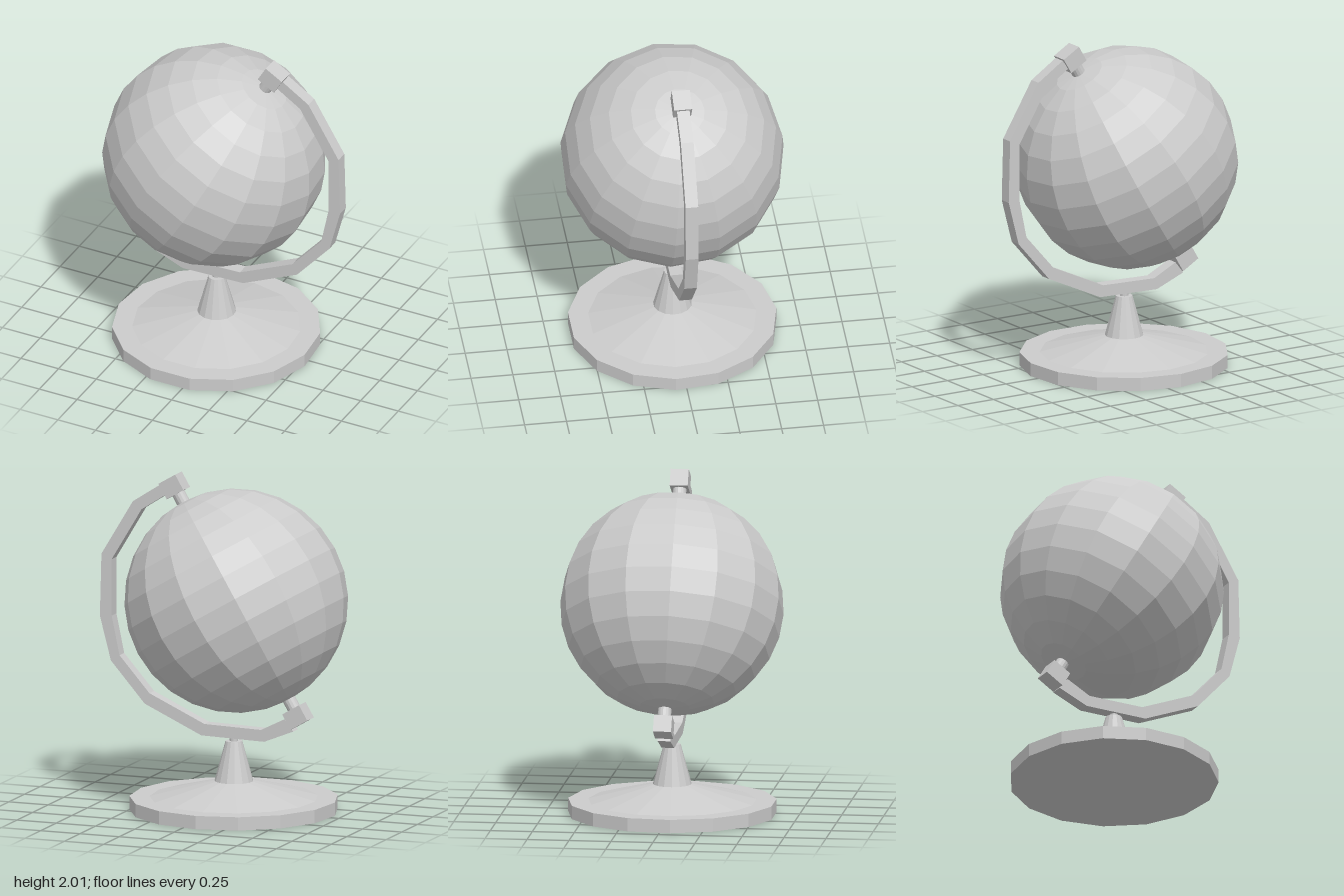
import * as THREE from 'three';

const SIDES = 15;
const TILT = -0.534; // lean of the globe axis towards +x

export function createModel() {
  const group = new THREE.Group();
  group.name = 'deskGlobe';
  const material = new THREE.MeshStandardMaterial({ color: 0xcccccc, flatShading: true });

  function add(parent, name, geometry, x = 0, y = 0, z = 0) {
    const mesh = new THREE.Mesh(geometry, material);
    mesh.name = name;
    mesh.position.set(x, y, z);
    parent.add(mesh);
    return mesh;
  }

  // Turned part from [radius, height] pairs, listed bottom to top
  function turned(profile) {
    const points = profile.map(([r, y]) => new THREE.Vector2(r, y));
    return new THREE.LatheGeometry(points, SIDES, Math.PI);
  }

  // Foot: low disc with a shallow cone, then the stem and its thin neck
  add(group, 'base', turned([[0, 0], [0.62, 0], [0.62, 0.08], [0.5, 0.08], [0.115, 0.18], [0, 0.18]]), -0.083);
  add(group, 'stem', turned([[0.115, 0.18], [0.05, 0.42], [0, 0.42]]), -0.083);
  add(group, 'neck', turned([[0.025, 0.41], [0.025, 0.46]]), -0.083);

  // Everything on the tilted axis
  const axis = new THREE.Group();
  axis.name = 'tiltedAxis';
  axis.position.set(-0.097, 1.265, 0);
  axis.rotation.z = TILT;
  group.add(axis);

  // Ball
  const rings = 14;
  const arc = [];
  for (let i = 0; i <= rings; i++) {
    const a = (i / rings) * Math.PI;
    arc.push([i % rings ? 0.665 * Math.sin(a) : 0, -0.665 * Math.cos(a)]);
  }
  add(axis, 'globe', turned(arc));

  // Pivot pin and holder block at each pole
  for (const [end, s] of [['upper', 1], ['lower', -1]]) {
    add(axis, end + 'Pin', new THREE.CylinderGeometry(0.04, 0.04, 0.13, SIDES), 0, s * 0.69);
    add(axis, end + 'Block', new THREE.BoxGeometry(0.124, 0.104, 0.108), 0, s * 0.774);
  }

  // Angular arm: outer edge down, inner edge back up
  const outer = [[0.375, 1.935], [0.545, 1.825], [0.745, 1.495], [0.755, 1.12], [0.685, 0.855],
    [0.47, 0.61], [0.11, 0.445], [-0.29, 0.435], [-0.475, 0.51]];
  const inner = [[-0.42, 0.58], [-0.27, 0.505], [0.09, 0.515], [0.44, 0.675], [0.63, 0.89],
    [0.68, 1.125], [0.68, 1.465], [0.49, 1.78], [0.335, 1.88]];
  const shape = new THREE.Shape([...outer, ...inner].map(([x, y]) => new THREE.Vector2(x, y)));
  add(group, 'arm', new THREE.ExtrudeGeometry(shape, { depth: 0.076, bevelEnabled: false }), 0, 0, -0.038);

  return group;
}
